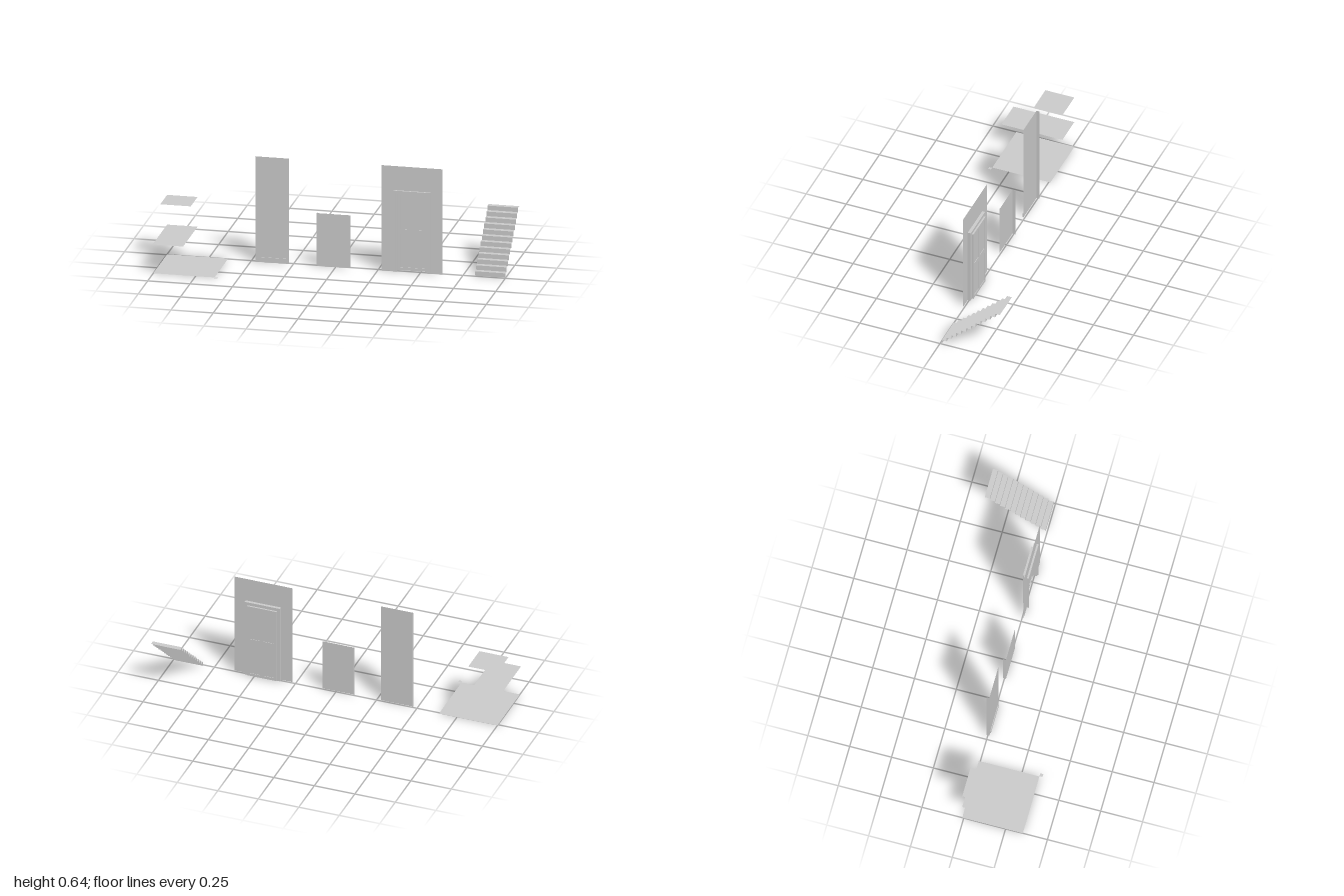
import * as THREE from 'three';

const material = new THREE.MeshStandardMaterial({ color: 0xcccccc, flatShading: true, side: THREE.DoubleSide });
const FRONT = 0.009, BACK = -0.009; // wall face and the back of its thickness

function add(group, name, geometry, x = 0, y = 0, z = 0) {
  const mesh = new THREE.Mesh(geometry, material);
  mesh.name = name;
  mesh.position.set(x, y, z);
  group.add(mesh);
  return mesh;
}

// Box given by its limits
function box(group, name, x0, x1, y0, y1, z0, z1) {
  add(group, name, new THREE.BoxGeometry(x1 - x0, y1 - y0, z1 - z0),
    (x0 + x1) / 2, (y0 + y1) / 2, (z0 + z1) / 2);
}

// Open sheet swept along x from a profile of [y, z] points
function sheet(x0, x1, profile) {
  const pos = [];
  for (let i = 0; i < profile.length - 1; i++) {
    const [ya, za] = profile[i], [yb, zb] = profile[i + 1];
    pos.push(x0, ya, za, x1, ya, za, x1, yb, zb, x0, ya, za, x1, yb, zb, x0, yb, zb);
  }
  const g = new THREE.BufferGeometry();
  g.setAttribute('position', new THREE.Float32BufferAttribute(pos, 3));
  g.computeVertexNormals();
  return g;
}

// Arch-shaped outline (square-topped) around a doorway
function portal(x0, x1, top, ix0, ix1, itop) {
  return new THREE.Shape([[x0, 0], [ix0, 0], [ix0, itop], [ix1, itop], [ix1, 0], [x1, 0], [x1, top], [x0, top]]
    .map(([x, y]) => new THREE.Vector2(x, y)));
}

// Rectangle path for holes
function rect(x0, x1, y0, y1) {
  return [[x0, y0], [x1, y0], [x1, y1], [x0, y1]].map(([x, y]) => new THREE.Vector2(x, y));
}

// Flat wall with a narrow return at its -x end
function wall(name, x0, x1, height) {
  const g = new THREE.Group();
  g.name = name;
  add(g, 'wallFace', sheet(x0, x1, [[0, FRONT], [height, FRONT]]));
  const end = add(g, 'wallReturn', new THREE.PlaneGeometry(FRONT - BACK, height), x0, height / 2, 0);
  end.rotation.y = -Math.PI / 2;
  return g;
}

function floors() {
  const g = new THREE.Group();
  g.name = 'floorTiles';
  const tiles = [
    ['largeFloor', -1, -0.639, 0, -0.009, 0.353],
    ['cornerFloor', -0.637, -0.619, 0, 0.353, 0.371],
    ['halfFloor', -1, -0.82, 0.18, -0.009, 0.371],
    ['quarterFloor', -1, -0.82, 0.36, -0.009, 0.171],
  ];
  for (const [name, x0, x1, y, z0, z1] of tiles) add(g, name, sheet(x0, x1, [[y, z1], [y, z0]]));
  return g;
}

function doorway() {
  const g = new THREE.Group();
  g.name = 'doorway';
  add(g, 'doorWall', new THREE.ShapeGeometry(portal(0.272, 0.631, 0.637, 0.346, 0.557, 0.488)), 0, 0, FRONT);

  // Outer casing with a shallower inner stop
  const extrude = (shape, depth) => new THREE.ExtrudeGeometry(shape, { depth, bevelEnabled: false });
  add(g, 'casing', extrude(portal(0.342, 0.561, 0.491, 0.354, 0.549, 0.48), 0.029), 0, 0, BACK);
  add(g, 'doorStop', extrude(portal(0.354, 0.549, 0.48, 0.362, 0.541, 0.472), 0.022), 0, 0, BACK);

  // Door leaf: pierced rails and stiles over a thinner core
  const leaf = new THREE.Shape(rect(0.361, 0.543, 0.003, 0.472));
  const panels = [];
  for (const [x0, x1] of [[0.377, 0.441], [0.463, 0.527]])
    for (const [y0, y1] of [[0.02, 0.222], [0.252, 0.457]]) panels.push([x0, x1, y0, y1]);
  for (const p of panels) leaf.holes.push(new THREE.Path(rect(...p)));
  add(g, 'doorLeaf', extrude(leaf, 0.01), 0, 0, -0.019);
  for (const [x0, x1, y0, y1] of panels) box(g, 'doorPanel', x0, x1, y0, y1, -0.016, -0.012);
  return g;
}

function stairs() {
  const steps = 12, rise = 0.319 / steps, run = 0.363 / steps;
  const profile = [[0, -0.01]];
  for (let i = 0; i < steps; i++) {
    profile.push([(i + 1) * rise, -0.01 - i * run], [(i + 1) * rise, -0.01 - (i + 1) * run]);
  }
  return sheet(0.818, 0.999, profile);
}

export function createModel() {
  const model = new THREE.Group();
  model.name = 'buildingKit';
  model.add(floors());

  const tall = wall('tallWall', -0.474, -0.276, 0.637);
  box(tall, 'baseboard', -0.456, -0.276, 0, 0.029, FRONT, 0.013);
  model.add(tall);

  model.add(wall('shortWall', -0.112, 0.086, 0.319));
  model.add(doorway());
  add(model, 'stairs', stairs());
  return model;
}
